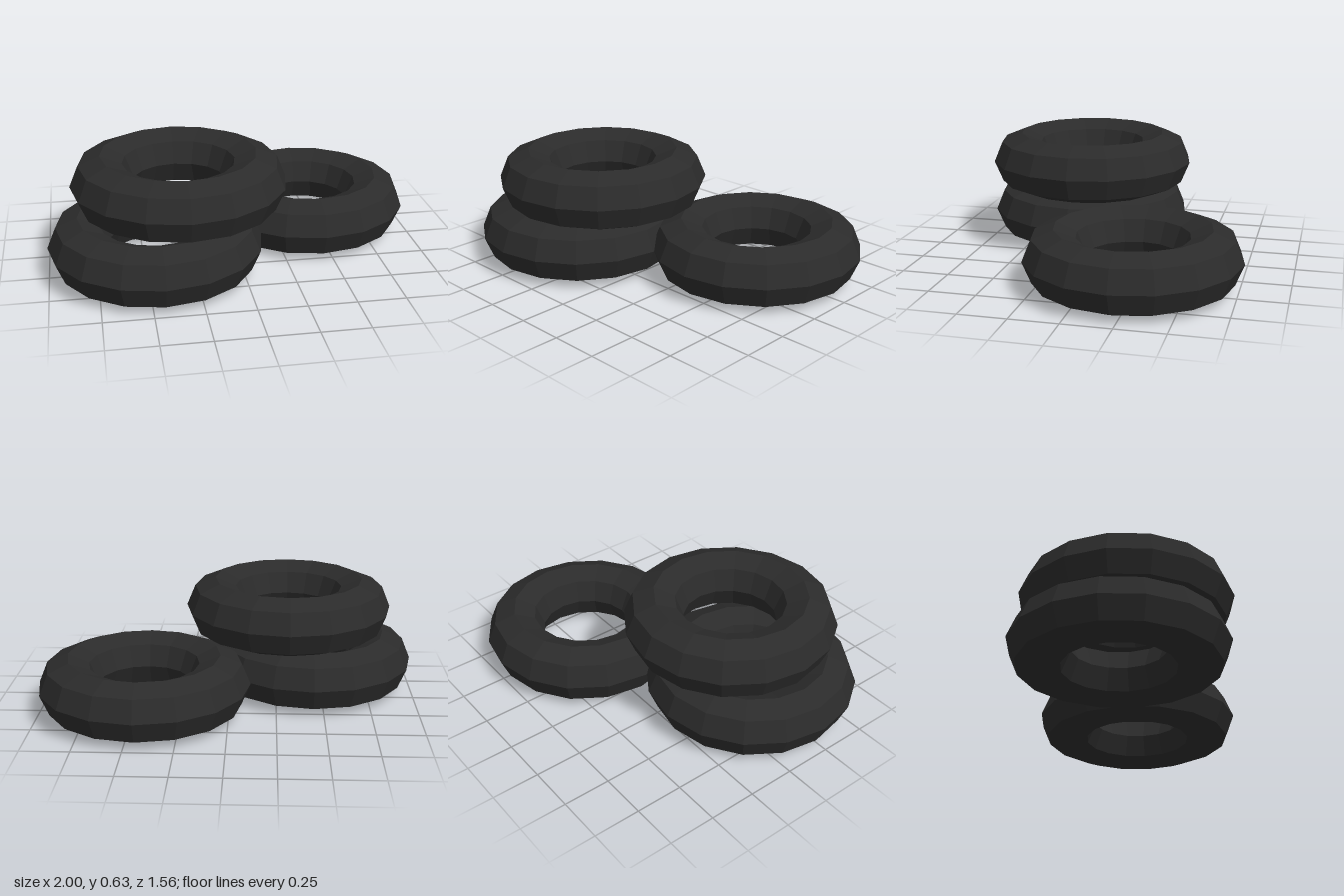
import * as THREE from 'three';

export function createModel() {
  const model = new THREE.Group();
  model.name = 'tyrePile';
  const rubber = new THREE.MeshStandardMaterial({ color: 0x2b2b2b, flatShading: true });
  rubber.name = 'black rubber';

  // Low-poly ring lying flat: 16 sides around, octagonal section
  const ring = new THREE.TorusGeometry(0.4, 0.157, 8, 16).rotateX(-Math.PI / 2);

  const addTyre = (name, x, y, z) => {
    const tyre = new THREE.Mesh(ring, rubber);
    tyre.name = name;
    tyre.position.set(x, y, z);
    model.add(tyre);
  };

  // Two tyres on the ground, one stacked on top
  addTyre('backLeftTyre', 0.443, 0.157, -0.222);
  addTyre('frontRightTyre', -0.443, 0.157, 0.222);
  addTyre('topTyre', -0.312, 0.47, 0.18);
  return model;
}
